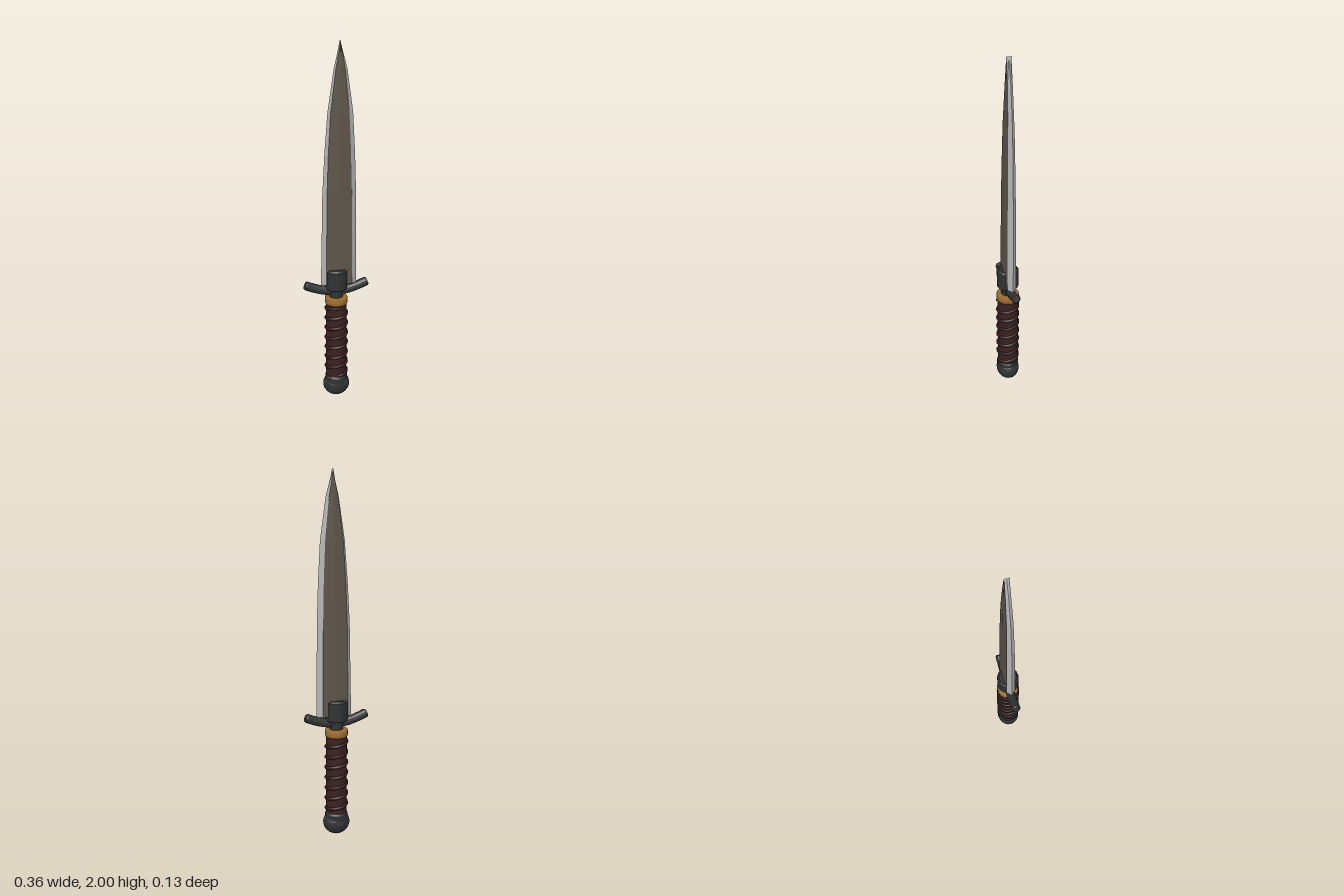
import * as THREE from 'three';

const mat = (name, color, side = THREE.FrontSide, flatShading = false) => {
  const m = new THREE.MeshStandardMaterial({ color, side, flatShading });
  m.name = name;
  return m;
};

// Blade stations: height, left edge, left flat, right flat, right edge, half thickness
const STATIONS = [
  [0.69, -0.085, -0.06, 0.083, 0.113, 0.030],
  [1.20, -0.075, -0.054, 0.080, 0.108, 0.026],
  [1.42, -0.063, -0.046, 0.075, 0.101, 0.023],
  [1.64, -0.046, -0.033, 0.066, 0.089, 0.020],
  [1.86, -0.013, -0.005, 0.044, 0.058, 0.016],
  [1.995, 0.018, 0.019, 0.021, 0.022, 0.013],
  [2.00, 0.020, 0.020, 0.020, 0.020, 0.012],
];

// Cross-section loop of a station, counter-clockwise seen from below
function section([y, l, lf, rf, r, t]) {
  const mid = (lf + rf) / 2, e = t * 0.84;
  return [[l, 0], [lf, e], [mid, t], [rf, e], [r, 0], [rf, -e], [mid, -t], [lf, -e]]
    .map(([x, z]) => [x, y, z]);
}

// Skins the chosen sides of the cross-section loop
function bladeSkin(sides, capped) {
  const loops = STATIONS.map(section), pos = [];
  for (let i = 0; i < loops.length - 1; i++) {
    for (const j of sides) {
      const k = (j + 1) % 8;
      const a = loops[i][j], b = loops[i][k], c = loops[i + 1][k], d = loops[i + 1][j];
      pos.push(...a, ...b, ...c, ...a, ...c, ...d);
    }
  }
  if (capped) {
    for (let j = 1; j < 7; j++) pos.push(...loops[0][0], ...loops[0][j + 1], ...loops[0][j]);
  }
  const g = new THREE.BufferGeometry();
  g.setAttribute('position', new THREE.Float32BufferAttribute(pos, 3));
  g.computeVertexNormals();
  return g;
}

const lathe = (pts, seg = 20) =>
  new THREE.LatheGeometry(pts.map(([r, y]) => new THREE.Vector2(r, y)), seg);

export function createModel() {
  const model = new THREE.Group();
  model.name = 'dagger';
  const iron = mat('dark iron', 0x303233, THREE.FrontSide, true);
  const leather = mat('grip leather', 0x3b2020);
  const cord = mat('wrap cord', 0x331c1b);
  const brass = mat('brass', 0x9c6c30);
  const flat = mat('blade flat', 0x5e554a, THREE.DoubleSide, true);
  const steel = mat('edge steel', 0xb4b4b4, THREE.DoubleSide, true);

  const add = (name, geometry, material) => {
    const mesh = new THREE.Mesh(geometry, material);
    mesh.name = name;
    model.add(mesh);
    return mesh;
  };

  // Blade: dark flats with bright bevelled edges
  add('bladeFlats', bladeSkin([1, 2, 5, 6], false), flat);
  add('bladeEdges', bladeSkin([0, 3, 4, 7], true), steel);

  // Collar holding the blade, and the neck below it
  add('collar', lathe([[0, 0.662], [0.058, 0.662], [0.061, 0.668], [0.061, 0.768],
    [0.05, 0.778], [0, 0.778]], 16), iron);
  add('neck', lathe([[0, 0.605], [0.038, 0.605], [0.038, 0.67], [0, 0.67]], 16), iron);

  // Upswept guard arms, mirrored, with rounded-off ends
  for (const s of [-1, 1]) {
    const path = new THREE.CatmullRomCurve3([
      new THREE.Vector3(0, 0.648, 0),
      new THREE.Vector3(s * 0.06, 0.652, 0),
      new THREE.Vector3(s * 0.12, 0.669, 0),
      new THREE.Vector3(s * 0.168, 0.688, 0),
    ]);
    const side = s > 0 ? 'left' : 'right';
    add(side + 'GuardArm', new THREE.TubeGeometry(path, 10, 0.025, 12), iron);
    const tip = add(side + 'GuardTip', new THREE.CylinderGeometry(0.02, 0.025, 0.007, 12), iron);
    const dir = path.getTangent(1);
    tip.position.copy(path.getPoint(1)).addScaledVector(dir, 0.0035);
    tip.quaternion.setFromUnitVectors(new THREE.Vector3(0, 1, 0), dir);
  }

  // Brass ferrule
  add('ferrule', lathe([[0, 0.572], [0.059, 0.572], [0.063, 0.579], [0.063, 0.607],
    [0.058, 0.614], [0, 0.614]], 24), brass);

  // Grip with a spiral cord
  add('grip', new THREE.CylinderGeometry(0.058, 0.057, 0.46, 24).translate(0, 0.35, 0), leather);
  const turns = 7, points = [];
  for (let i = 0; i <= turns * 16; i++) {
    const a = (i / 16) * Math.PI * 2;
    points.push(new THREE.Vector3(Math.sin(a) * 0.057, 0.14 + (0.42 * i) / (turns * 16), Math.cos(a) * 0.057));
  }
  add('gripWrap', new THREE.TubeGeometry(new THREE.CatmullRomCurve3(points), turns * 24, 0.0095, 8), cord);

  // Pommel: flattened ball under a short cap
  add('pommelCap', lathe([[0, 0.085], [0.063, 0.085], [0.063, 0.122], [0.056, 0.132], [0, 0.132]]), iron);
  const ball = add('pommel', new THREE.SphereGeometry(0.075, 20, 14), iron);
  ball.scale.set(1, 0.93, 0.87);
  ball.position.y = 0.07;
  return model;
}
